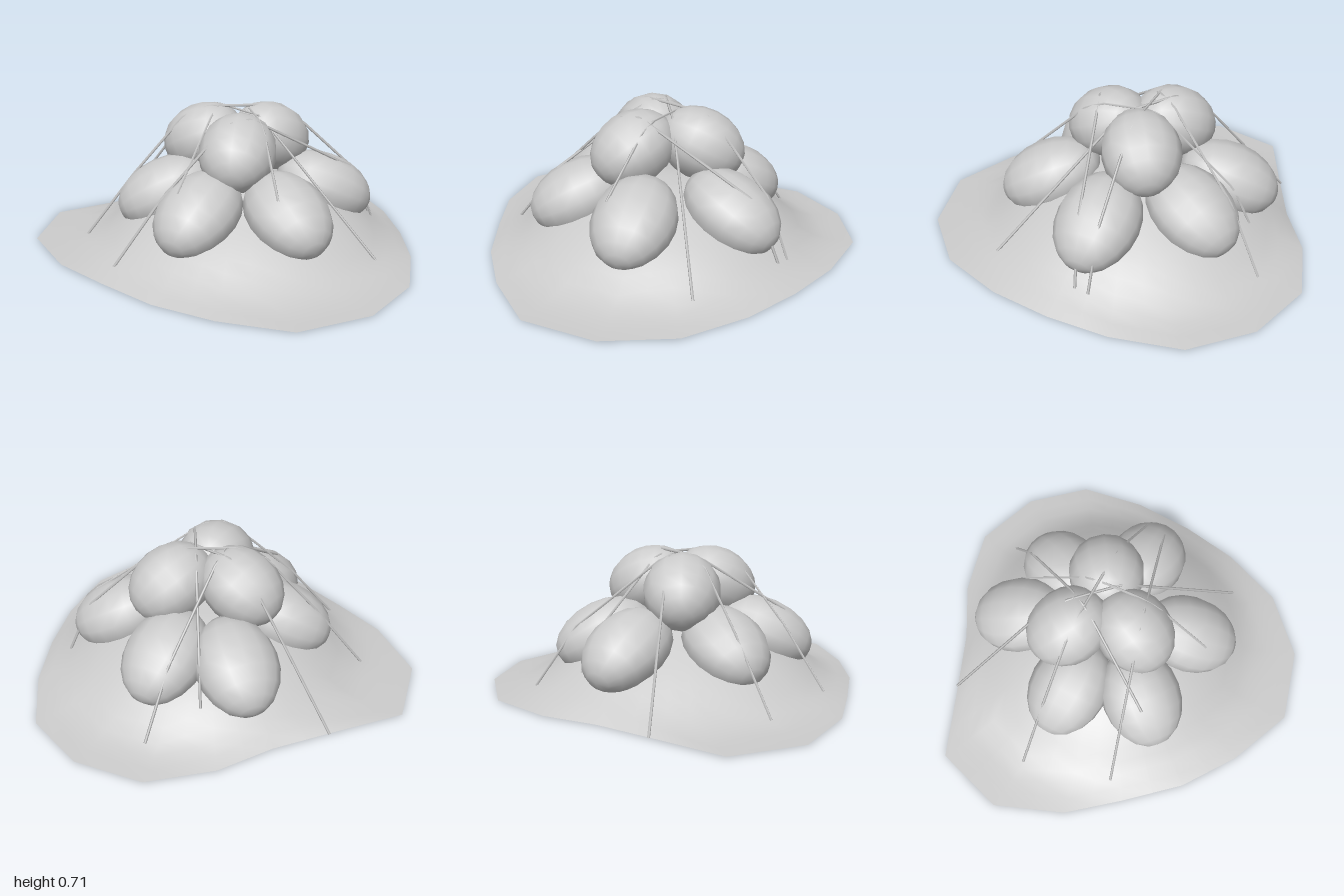
import * as THREE from 'three';

const grey = new THREE.MeshStandardMaterial({ color: 0xcccccc });
const sheetGrey = new THREE.MeshStandardMaterial({ color: 0xcccccc, side: THREE.DoubleSide });
const CX = 0.12, CZ = -0.03; // middle of the mound

// Mound height by distance from its middle: [distance, height]
const slope = [[0, 0.36], [0.2, 0.34], [0.35, 0.285], [0.5, 0.21], [0.58, 0.165], [0.66, 0.11],
  [0.75, 0.045], [0.84, 0.014], [0.95, 0.003]];
function moundHeight(d) {
  for (let i = 1; i < slope.length; i++) {
    const [d0, h0] = slope[i - 1], [d1, h1] = slope[i];
    if (d < d1) return THREE.MathUtils.lerp(h0, h1, (d - d0) / (d1 - d0));
  }
  return 0.002;
}

// Draped ground sheet: spokes from the middle to an uneven rim
function makeSheet() {
  const rim = [[0.27, -1], [0.61, -0.91], [0.86, -0.68], [0.95, -0.35], [0.97, -0.04], [0.95, 0.27],
    [0.86, 0.6], [0.63, 0.87], [0.28, 1], [-0.06, 0.89], [-0.34, 0.73], [-0.58, 0.51], [-0.8, 0.29],
    [-0.97, -0.04], [-0.9, -0.41], [-0.6, -0.56], [-0.29, -0.72], [-0.05, -0.89]];
  const split = 2, spokes = rim.length * split, rings = 14;
  const pos = [CX, moundHeight(0), CZ], index = [];
  for (let r = 1; r <= rings; r++) {
    for (let s = 0; s < spokes; s++) {
      const a = rim[Math.floor(s / split)], b = rim[(Math.floor(s / split) + 1) % rim.length];
      const f = (s % split) / split, t = r / rings;
      const dx = (THREE.MathUtils.lerp(a[0], b[0], f) - CX) * t;
      const dz = (THREE.MathUtils.lerp(a[1], b[1], f) - CZ) * t;
      pos.push(CX + dx, r === rings ? 0 : moundHeight(Math.hypot(dx, dz)), CZ + dz);
    }
  }
  for (let s = 0; s < spokes; s++) {
    const n = (s + 1) % spokes;
    index.push(0, 1 + n, 1 + s);
    for (let r = 0; r < rings - 1; r++) {
      const a = 1 + r * spokes + s, b = 1 + r * spokes + n;
      index.push(a, b, a + spokes, b, b + spokes, a + spokes);
    }
  }
  const g = new THREE.BufferGeometry();
  g.setAttribute('position', new THREE.Float32BufferAttribute(pos, 3));
  g.setIndex(index);
  g.computeVertexNormals();
  const mesh = new THREE.Mesh(g, sheetGrey);
  mesh.name = 'groundSheet';
  return mesh;
}

// Plump sack half sunk into the mound and tilted outward
function makeSack(name, x, y, z, length, height, width, pitch) {
  const g = new THREE.SphereGeometry(1, 14, 10);
  g.rotateZ(Math.PI / 2);
  g.scale(length, height, width);
  const sack = new THREE.Mesh(g, grey);
  sack.name = name;
  sack.position.set(x, y, z);
  sack.rotation.order = 'YXZ';
  sack.rotation.set(0, -Math.atan2(z - CZ, x - CX), -pitch);
  return sack;
}

// Taut line: keep only the points that hold it up
function pullTaut(points) {
  const kept = [];
  const run = (a, b) => Math.hypot(b.x - a.x, b.z - a.z);
  for (const c of points) {
    while (kept.length > 1) {
      const [a, b] = kept.slice(-2);
      if ((b.y - a.y) * run(a, c) > (c.y - a.y) * run(a, b)) break;
      kept.pop();
    }
    kept.push(c);
  }
  return kept;
}

export function createModel() {
  const group = new THREE.Group();
  group.name = 'sackPile';
  group.add(makeSheet());

  // Lower ring of six and upper ring of three
  const lower = [[-0.09, -0.46], [0.26, -0.42], [0.55, -0.07], [-0.28, -0.02], [-0.12, 0.32], [0.31, 0.35]];
  const upper = [[-0.08, -0.15], [0.27, -0.15], [0.08, 0.14]];
  lower.forEach(([x, z], i) => group.add(makeSack('lowerSack' + (i + 1), x, 0.27, z, 0.265, 0.17, 0.205, 0.42)));
  upper.forEach(([x, z], i) => group.add(makeSack('upperSack' + (i + 1), x, 0.52, z, 0.225, 0.178, 0.195, 0.45)));

  // Thin strands pulled over the pile
  group.updateMatrixWorld(true);
  const pile = [...group.children];
  const ray = new THREE.Raycaster();
  const down = new THREE.Vector3(0, -1, 0);
  const drop = (x, z) => {
    ray.set(new THREE.Vector3(x, 2, z), down);
    const hit = ray.intersectObjects(pile)[0];
    return new THREE.Vector3(x, hit ? hit.point.y : 0, z);
  };
  const strands = [
    [-0.7, -0.04, 0.82, -0.17], [-0.53, 0.4, 0.82, -0.1], [-0.55, -0.59, 0.74, 0.4],
    [0.3, -0.79, -0.22, 0.38], [0.06, -0.64, 0.25, 0.47]];
  strands.forEach(([x0, z0, x1, z1], n) => {
    const steps = 12, samples = [];
    for (let i = 0; i <= steps; i++) {
      samples.push(drop(THREE.MathUtils.lerp(x0, x1, i / steps), THREE.MathUtils.lerp(z0, z1, i / steps)));
    }
    const points = pullTaut(samples), path = new THREE.CurvePath();
    for (let i = 1; i < points.length; i++) path.add(new THREE.LineCurve3(points[i - 1], points[i]));
    const strand = new THREE.Mesh(new THREE.TubeGeometry(path, 40, 0.007, 4), sheetGrey);
    strand.name = 'strand' + (n + 1);
    group.add(strand);
  });
  return group;
}
